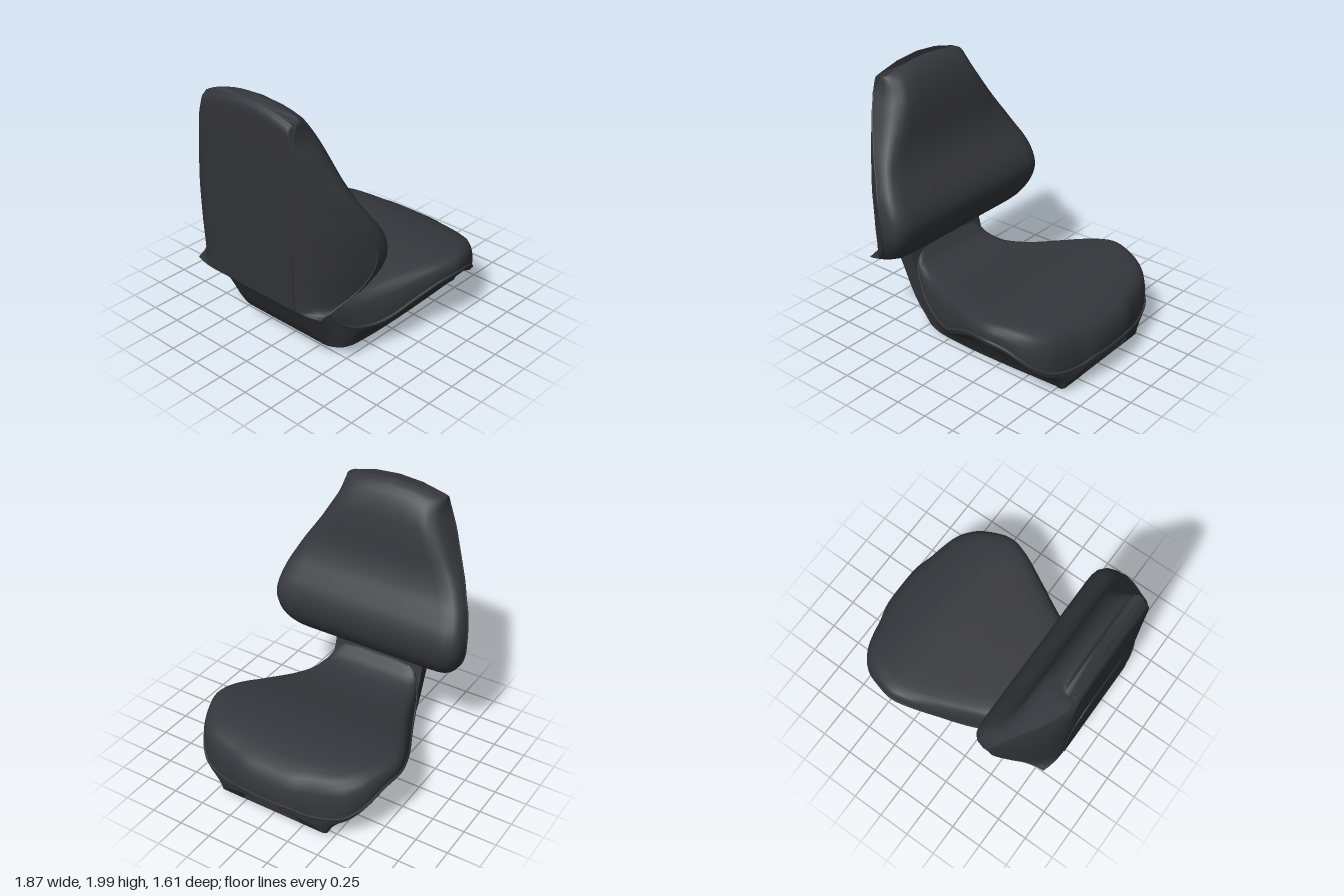
import * as THREE from 'three';
import { toCreasedNormals } from 'three/addons/utils/BufferGeometryUtils.js';

const padding = new THREE.MeshStandardMaterial({ color: 0x36373c });
padding.name = 'charcoal padding';
const plastic = new THREE.MeshStandardMaterial({ color: 0x323338 });
plastic.name = 'dark plastic';
const { lerp, clamp, smoothstep } = THREE.MathUtils;

// Smooth function through [x, value] points
function spline(p) {
  const slope = (i) => {
    const a = p[Math.max(i - 1, 0)], b = p[Math.min(i + 1, p.length - 1)];
    return (b[1] - a[1]) / (b[0] - a[0]);
  };
  return (v) => {
    const x = clamp(v, p[0][0], p[p.length - 1][0]);
    let i = 0;
    while (i < p.length - 2 && x > p[i + 1][0]) i++;
    const d = p[i + 1][0] - p[i][0], t = (x - p[i][0]) / d, u = 1 - t;
    return p[i][1] * u * u * (1 + 2 * t) + p[i + 1][1] * t * t * (3 - 2 * t)
      + d * t * u * (u * slope(i) - t * slope(i + 1));
  };
}

// Closed skin over a row of equal loops, capped at both ends
function loft(rings, crease) {
  const n = rings[0].length, pos = [], idx = [];
  rings.forEach((r) => r.forEach((p) => pos.push(p.x, p.y, p.z)));
  for (let k = 0; k < rings.length - 1; k++) {
    for (let i = 0; i < n; i++) {
      const a = k * n + i, b = k * n + (i + 1) % n;
      idx.push(a, b, b + n, a, b + n, a + n);
    }
  }
  [0, rings.length - 1].forEach((k, end) => {
    const c = new THREE.Vector3();
    rings[k].forEach((p) => c.addScaledVector(p, 1 / n));
    const ci = pos.push(c.x, c.y, c.z) / 3 - 1;
    for (let i = 0; i < n; i++) {
      const a = k * n + i, b = k * n + (i + 1) % n;
      if (end) idx.push(a, b, ci); else idx.push(b, a, ci);
    }
  });
  // Turn the skin outward if it encloses a negative volume
  const v = (i) => new THREE.Vector3().fromArray(pos, i * 3);
  let volume = 0;
  for (let i = 0; i < idx.length; i += 3) volume += v(idx[i]).dot(v(idx[i + 1]).cross(v(idx[i + 2])));
  if (volume < 0) idx.reverse();
  const g = new THREE.BufferGeometry();
  g.setAttribute('position', new THREE.Float32BufferAttribute(pos, 3));
  g.setIndex(idx);
  return toCreasedNormals(g, crease);
}

function add(parent, name, geometry, material) {
  const m = new THREE.Mesh(geometry, material);
  m.name = name;
  parent.add(m);
  return m;
}

// Half a section plus its mirror image across z = 0, the last point being central
const mirrorZ = (half) => half.concat(half.slice(0, -1).reverse().map((p) => new THREE.Vector3(p.x, p.y, -p.z)));
const V = (x, y, z) => new THREE.Vector3(x, y, z);

// Seat curves along x
const sidePts = [[-0.55, 0.41], [-0.37, 0.48], [0, 0.655], [0.25, 0.765], [0.4, 0.798], [0.55, 0.765],
  [0.7, 0.7], [0.8, 0.6], [0.85, 0.47], [0.88, 0.34], [0.92, 0.2]];
const seamPts = [[-0.645, 0.56], [-0.63, 0.48], [-0.58, 0.38], [-0.5, 0.27], [-0.4, 0.2], [-0.3, 0.18],
  [-0.2, 0.19], [-0.1, 0.23], [0, 0.29], [0.2, 0.4], [0.3, 0.43], [0.4, 0.44], [0.5, 0.425], [0.6, 0.38],
  [0.75, 0.27], [0.83, 0.21], [0.88, 0.19], [0.92, 0.225], [0.93, 0.225]];
const seamY = spline(seamPts);
const seatTop = spline([[-0.645, 0.6], [-0.62, 0.55], [-0.56, 0.48], [-0.45, 0.445], [-0.35, 0.445],
  [-0.2, 0.46], [0, 0.5], [0.2, 0.54], [0.4, 0.56], [0.6, 0.545], [0.75, 0.51], [0.85, 0.47], [0.93, 0.42]]);

function buildSeatCushion(group) {
  const half = [[-0.645, 0.2], [-0.625, 0.36], ...sidePts];
  const loop = [[-0.645, 0], ...half, [0.93, 0], ...half.slice().reverse().map(([x, z]) => [x, -z])];
  const outline = new THREE.CatmullRomCurve3(loop.map(([x, z]) => V(x, 0, z)), true)
    .getSpacedPoints(160).slice(0, -1);
  const layers = [[0.985, 0], [0.99, 0.15], [0.988, 0.45], [0.975, 0.7], [0.95, 0.87], [0.91, 0.95],
    [0.85, 0.985], [0.75, 1], [0.6, 1], [0.4, 1], [0.2, 1], [0.05, 1]];
  const rings = layers.map(([f, h]) => outline.map((p) => {
    const x = lerp(0.15, p.x, f);
    return V(x, lerp(seamY(p.x), seatTop(x), h), p.z * f);
  }));
  add(group, 'seatCushion', loft(rings, 1), padding);
  const path = new THREE.CatmullRomCurve3(outline.map((p) => V(lerp(0.15, p.x, 0.988), seamY(p.x), p.z * 0.988)), true);
  add(group, 'seatPiping', new THREE.TubeGeometry(path, 200, 0.012, 6, true), padding);
}

function buildSeatPan(group) {
  const width = spline([[-0.86, 0.38], [-0.65, 0.4], ...sidePts, [0.93, 0.17]]);
  const rim = spline([[-0.86, 0.57], [-0.75, 0.59], [-0.67, 0.585], ...seamPts]);
  const bottom = spline([[-0.86, 0.55], [-0.78, 0.42], [-0.69, 0.25], [-0.6, 0.12], [-0.5, 0.05], [-0.38, 0.012],
    [-0.3, 0.005], [0.3, 0.02], [0.75, 0.033], [0.82, 0.035], [0.85, 0.085], [0.9, 0.165], [0.93, 0.205]]);
  const foot = spline([[-0.86, 0.36], [-0.5, 0.41], [0, 0.45], [0.75, 0.45], [0.82, 0.44], [0.93, 0.3]]);
  const xs = [-0.362, -0.358, 0.788, 0.792, 0.822, 0.826];
  for (let i = 0; i <= 70; i++) xs.push(lerp(-0.86, 0.93, i / 70));
  xs.sort((a, b) => a - b);
  const rings = xs.map((x) => {
    const w = width(x) - 0.012, r = rim(x) - 0.005, b = Math.min(bottom(x), r - 0.01);
    const fw = Math.min(foot(x), w - 0.02), lip = 0.035 * Math.min(1, (r - b) / 0.08);
    const floor = x > -0.36 && x < 0.79 ? b + 0.06 : b;
    const pull = 0.05 * clamp((w - fw) / 0.3, 0, 1), pw = Math.min(0.25, fw - 0.05);
    // Hand pocket in the front wall
    const pocket = x > 0.824 ? Math.max(b, Math.min(r - 0.02, 0.185)) : floor;
    return mirrorZ([V(x, r, w), V(x, r - lip, w - 0.01), V(x, lerp(r - lip, b, 0.2), lerp(w, fw, 0.2) - pull),
      V(x, lerp(r - lip, b, 0.6), lerp(w, fw, 0.6) - pull), V(x, b, fw), V(x, b, fw - 0.03),
      V(x, floor, fw - 0.035), V(x, floor, pw), V(x, pocket, pw - 0.02), V(x, pocket, 0)]);
  });
  add(group, 'seatPan', loft(rings, 0.6), plastic);

  // Stiffening lattice under the pan
  const lattice = new THREE.Group();
  lattice.name = 'undersideLattice';
  lattice.position.set(0.215, 0.048, 0);
  lattice.rotation.z = 0.02;
  group.add(lattice);
  const rib = (x, z, length, angle) => {
    const m = add(lattice, 'rib', new THREE.BoxGeometry(length, 0.055, 0.014), plastic);
    m.position.set(x, 0, z);
    m.rotation.y = angle;
  };
  for (const z of [-0.2, 0, 0.2]) rib(0, z, 1.13, 0);
  for (let i = -2; i <= 2; i++) rib(i * 0.22, 0, 0.8, Math.PI / 2);
  for (const x of [-0.44, 0, 0.44]) {
    for (const z of [-0.2, 0.2]) for (const s of [-1, 1]) rib(x * 0.8, z, 0.5, s * Math.PI / 4);
  }
  for (const [x, z, r] of [[0, 0, 0.1], [-0.22, 0, 0.07], [0.22, 0, 0.07], [-0.4, 0.2, 0.05], [-0.4, -0.2, 0.05],
    [0.4, 0.2, 0.05], [0.4, -0.2, 0.05]]) {
    const boss = new THREE.CylinderGeometry(r, r, 0.056, 20);
    add(lattice, 'boss', boss, plastic).position.set(x, 0, z);
  }
}

// Backrest curves along y
const backWidth = spline([[0.56, 0.6], [0.62, 0.64], [0.7, 0.7], [0.8, 0.755], [0.9, 0.79], [1, 0.8], [1.1, 0.79],
  [1.2, 0.765], [1.3, 0.72], [1.4, 0.67], [1.5, 0.61], [1.6, 0.55], [1.7, 0.495], [1.8, 0.44], [1.86, 0.42], [1.93, 0.41]]);
const front = spline([[0.56, -0.84], [0.58, -0.72], [0.62, -0.62], [0.7, -0.49], [0.8, -0.41], [0.9, -0.37],
  [1, -0.36], [1.1, -0.39], [1.2, -0.45], [1.3, -0.515], [1.4, -0.56], [1.5, -0.588], [1.6, -0.605],
  [1.7, -0.625], [1.78, -0.65], [1.86, -0.7], [1.9, -0.745], [1.92, -0.78], [1.93, -0.81]]);
const edge = spline([[0.56, -0.87], [0.58, -0.8], [0.65, -0.7], [0.75, -0.61], [0.87, -0.55], [1, -0.53],
  [1.15, -0.57], [1.3, -0.64], [1.4, -0.7], [1.6, -0.82], [1.75, -0.89], [1.85, -0.905], [1.93, -0.865]]);
const rear = spline([[0.56, -0.905], [1.2, -0.92], [1.85, -0.935], [1.9, -0.928], [1.93, -0.895]]);

function buildBackrest(group) {
  const ys = [0.56, 0.565, 0.57, 0.58, 0.6];
  for (let i = 0; i <= 50; i++) ys.push(lerp(0.62, 1.9, i / 50));
  ys.push(1.91, 1.92, 1.93);
  // The top edge is bowed upward in the middle
  const place = (y, x, z) => V(x, y + 0.07 * smoothstep(y, 1.7, 1.93) * (1 - (z / backWidth(y)) ** 2), z);
  const section = (y, pts) => mirrorZ(pts.map(([x, z]) => place(y, x, z)));
  const cushion = ys.map((y) => {
    const w = backWidth(y), e = edge(y), f = front(y);
    return section(y, [[e, w], [lerp(e, f, 0.4), w], [lerp(e, f, 0.7), w - 0.015], [lerp(e, f, 0.9), w - 0.05],
      [lerp(e, f, 0.98), w - 0.1], [f, w - 0.16], [f, w * 0.4], [f, 0]]);
  });
  add(group, 'backCushion', loft(cushion, 0.9), padding);
  const shell = ys.map((y) => {
    const w = backWidth(y), e = edge(y), k = rear(y), b = Math.min(0.42, w - 0.02);
    return section(y, [[e, w], [lerp(e, k, 0.44), lerp(w, b, 0.26)], [lerp(e, k, 0.82), lerp(w, b, 0.62)],
      [lerp(e, k, 0.96), lerp(w, b, 0.86)], [k, b - 0.01], [k, b * 0.5], [k, 0]]);
  });
  add(group, 'backShell', loft(shell, 0.7), plastic);

  // Seam along each side
  for (const s of [-1, 1]) {
    const path = new THREE.CatmullRomCurve3(ys.map((y) => place(y, edge(y), s * backWidth(y))));
    add(group, 'backPiping', new THREE.TubeGeometry(path, 120, 0.006, 6), padding);
  }

  // Arched cover on the rear
  const arch = new THREE.Shape();
  arch.moveTo(-0.4, 0);
  arch.lineTo(0.4, 0);
  arch.lineTo(0.4, 0.3);
  arch.bezierCurveTo(0.4, 0.52, 0.3, 0.64, 0.1, 0.64);
  arch.lineTo(-0.1, 0.64);
  arch.bezierCurveTo(-0.3, 0.64, -0.4, 0.52, -0.4, 0.3);
  const cover = new THREE.ExtrudeGeometry(arch, { depth: 0.009, bevelEnabled: false, curveSegments: 16 });
  cover.rotateY(-Math.PI / 2);
  const m = add(group, 'rearCover', cover, plastic);
  m.position.set(-0.902, 0.565, 0);
  m.rotation.z = 0.0234;
}

export function createModel() {
  const group = new THREE.Group();
  group.name = 'vehicleSeat';
  buildSeatPan(group);
  buildSeatCushion(group);
  buildBackrest(group);
  return group;
}
